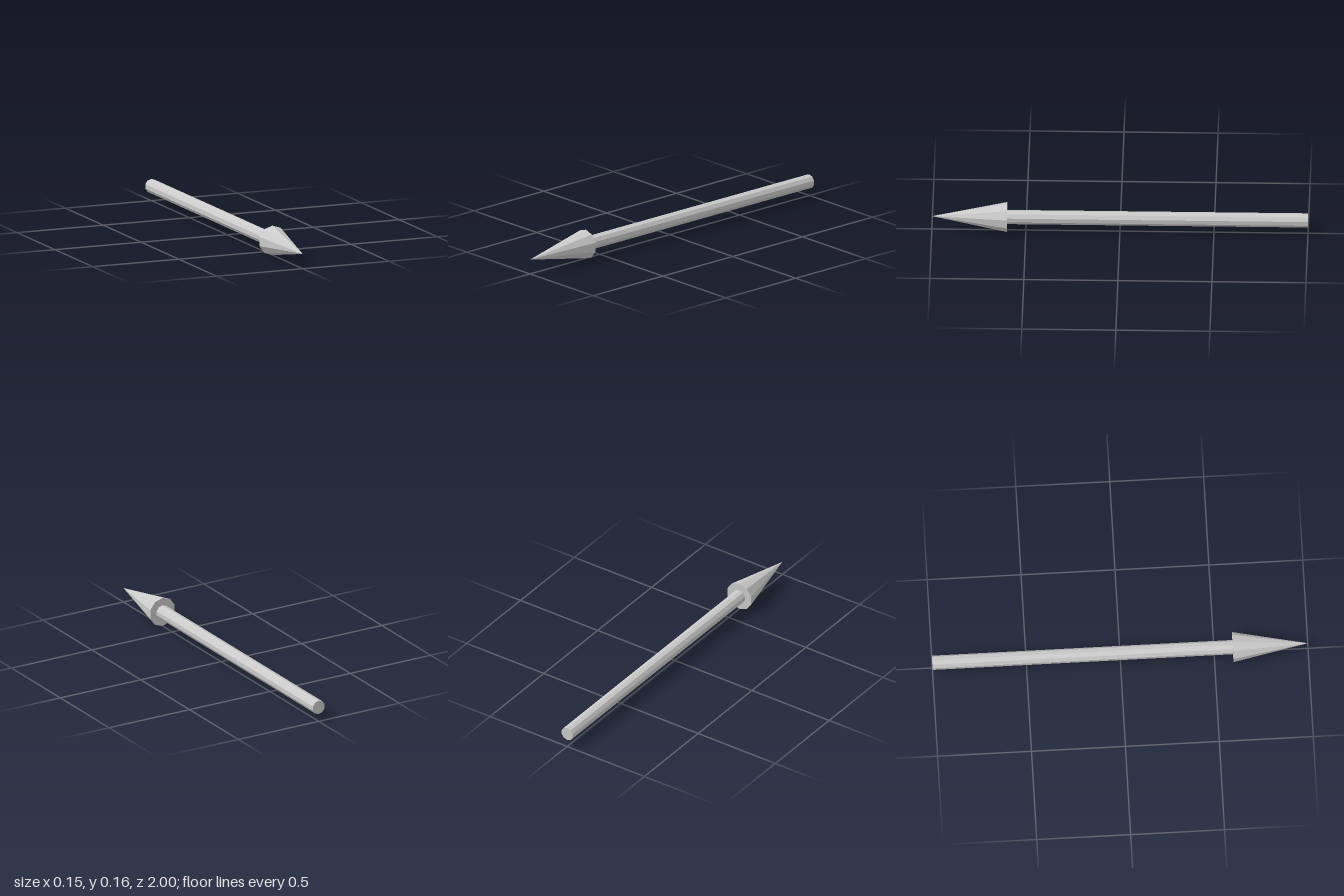
import * as THREE from 'three';

const SIDES = 10;
const HEAD_RADIUS = 0.08;
const SHAFT_RADIUS = 0.038;
const HEAD_BASE = 0.6;

// Ten-sided round part lying along z, from z0 to z1
function roundPart(name, frontRadius, backRadius, z0, z1) {
  const geometry = new THREE.CylinderGeometry(frontRadius, backRadius, z1 - z0, SIDES);
  geometry.rotateX(Math.PI / 2);
  const material = new THREE.MeshStandardMaterial({ color: 0xcccccc, flatShading: true });
  const mesh = new THREE.Mesh(geometry, material);
  mesh.name = name;
  mesh.position.set(0, HEAD_RADIUS, (z0 + z1) / 2);
  return mesh;
}

export function createModel() {
  const arrow = new THREE.Group();
  arrow.name = 'arrow';
  arrow.add(
    roundPart('shaft', SHAFT_RADIUS, SHAFT_RADIUS, -1, HEAD_BASE),
    roundPart('arrowhead', 0, HEAD_RADIUS, HEAD_BASE, 1),
  );
  return arrow;
}
